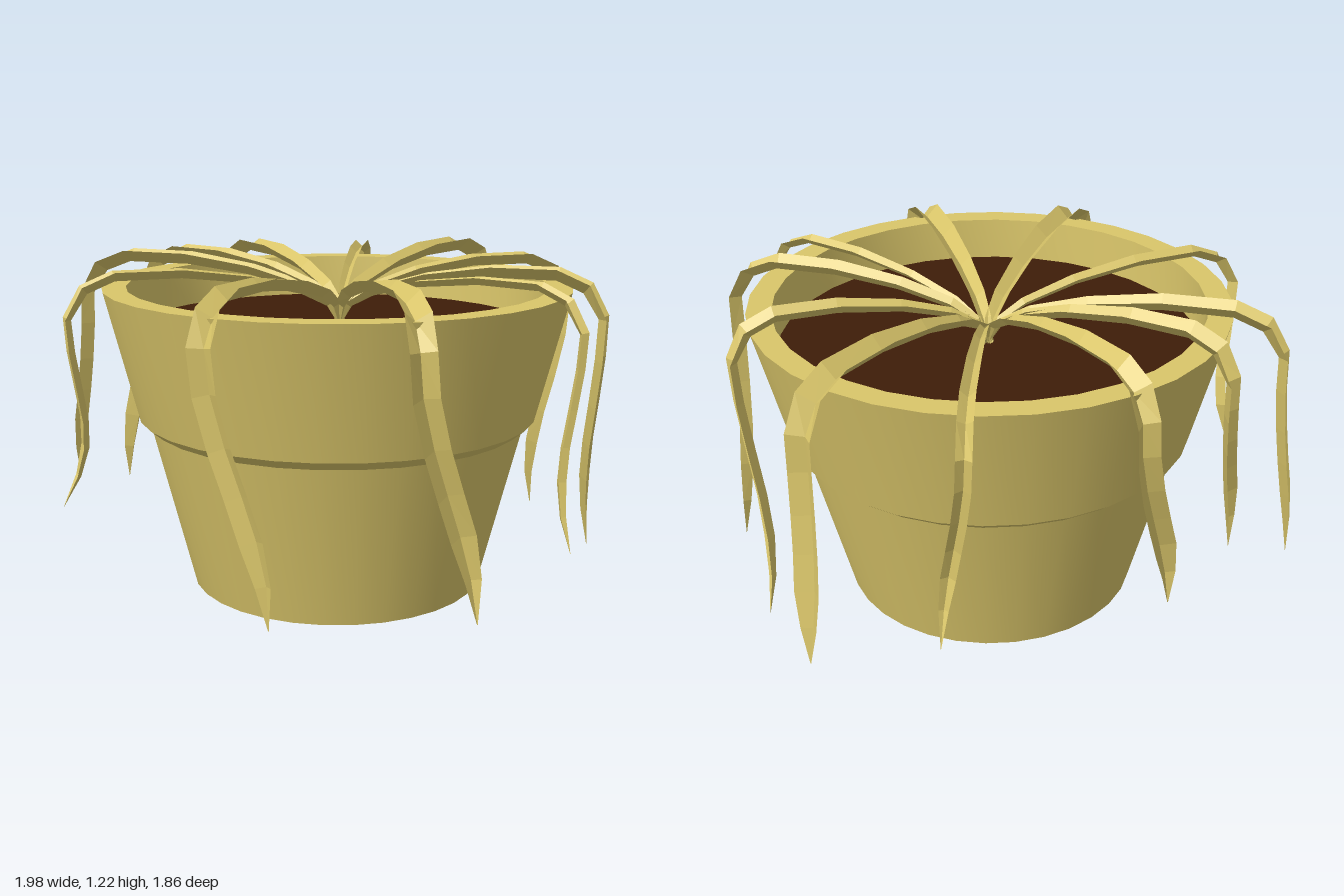
import * as THREE from 'three';
import { toCreasedNormals } from 'three/addons/utils/BufferGeometryUtils.js';

const CENTRE_X = 0.04;
const ROOT = new THREE.Vector3(0.06, 0.96, -0.03);

// Each leaf: half width, elbow over the rim (x, z), hanging tip, inward sag
const LEAVES = [
  { name: 'leafFront', w: 0.046, elbow: [0.025, 0.9], tip: [0.235, 0.12, 0.92], sag: 0.04 },
  { name: 'leafFrontRight', w: 0.046, elbow: [-0.6, 0.64], tip: [-0.44, 0.13, 0.79], sag: 0.02 },
  { name: 'leafRight', w: 0.034, elbow: [-0.94, 0], tip: [-0.99, 0.32, -0.11], sag: 0.09 },
  { name: 'leafBackRight', w: 0.046, elbow: [-0.78, -0.63], tip: [-0.86, 0.26, -0.7], sag: 0.02 },
  { name: 'leafBackInnerRight', w: 0.046, elbow: [-0.52, -0.73], tip: [-0.67, 0.27, -0.61], sag: 0.02 },
  { name: 'leafBack', w: 0.046, elbow: [-0.14, -0.88], tip: [-0.33, 0.23, -0.79], sag: 0.02 },
  { name: 'leafBackInnerLeft', w: 0.026, elbow: [0.45, -0.88], tip: [0.53, 0.32, -0.85], sag: 0.08 },
  { name: 'leafBackLeft', w: 0.052, elbow: [0.86, -0.58], tip: [0.93, 0.27, -0.71], sag: 0.03 },
  { name: 'leafLeft', w: 0.042, elbow: [0.96, -0.01], tip: [0.97, 0.12, -0.21], sag: 0.05 },
  { name: 'leafFrontOuterLeft', w: 0.044, elbow: [0.84, 0.53], tip: [0.95, 0.12, 0.33], sag: 0.04 },
  { name: 'leafFrontInnerLeft', w: 0.028, elbow: [0.64, 0.77], tip: [0.59, 0.31, 0.87], sag: 0.06 },
];

// Arch from the root over the rim: [fraction of the way to the elbow, height]
const ARCH = [[0, 0.96], [0.05, 1.04], [0.15, 1.09], [0.35, 1.14], [0.6, 1.17], [0.84, 1.17], [0.94, 1.13]];
// Fractions of the drop from elbow to tip
const DROP = [0, 0.16, 0.35, 0.52, 0.68, 0.84, 1];

function leafPath({ elbow, tip, sag }) {
  const top = new THREE.Vector3(elbow[0], 1.04, elbow[1]);
  const end = new THREE.Vector3(...tip);
  const inward = new THREE.Vector3(CENTRE_X - top.x, 0, -top.z).normalize();
  const arch = ARCH.map(([t, y]) => ROOT.clone().lerp(top, t).setY(y));
  const hang = DROP.map(t => top.clone()
    .lerp(end, THREE.MathUtils.smoothstep(t, 0, 1))
    .setY(THREE.MathUtils.lerp(top.y, end.y, t))
    .addScaledVector(inward, sag * Math.sin(Math.PI * t ** 1.7)));
  return [...arch, ...hang];
}

// Folded blade: a V cross-section swept along the path, tapering at both ends
function leafGeometry(leaf) {
  const path = leafPath(leaf);
  const last = path.length - 1;
  const [x, z] = leaf.elbow;
  const side = new THREE.Vector3(z - ROOT.z, 0, ROOT.x - x).normalize();
  const positions = [], index = [];
  path.forEach((p, i) => {
    const tangent = path[Math.min(i + 1, last)].clone().sub(path[Math.max(i - 1, 0)]).normalize();
    const across = side.clone().addScaledVector(tangent, -side.dot(tangent)).normalize();
    const outward = tangent.clone().cross(across).normalize();
    const taper = i === last ? 0.03 : i === last - 1 ? 0.65 : 1;
    const half = leaf.w * Math.min(1, 0.35 + i * 0.15) * taper;
    const depth = half * (i < ARCH.length ? 1 : 0.75);
    for (const s of [-1, 0, 1]) {
      const q = p.clone().addScaledVector(across, s * half).addScaledVector(outward, Math.abs(s) * depth);
      positions.push(q.x, q.y, q.z);
    }
    if (i < last) {
      for (const k of [0, 1]) {
        const a = i * 3 + k;
        index.push(a, a + 1, a + 4, a, a + 4, a + 3);
      }
    }
  });
  const geometry = new THREE.BufferGeometry();
  geometry.setAttribute('position', new THREE.Float32BufferAttribute(positions, 3));
  geometry.setIndex(index);
  const faceted = geometry.toNonIndexed();
  faceted.computeVertexNormals();
  return faceted;
}

export function createModel() {
  const model = new THREE.Group();
  model.name = 'pottedPlant';
  const olive = new THREE.MeshStandardMaterial({ color: 0xdac66a, side: THREE.DoubleSide });
  olive.name = 'olive';
  const earth = new THREE.MeshStandardMaterial({ color: 0x3e1d08 });
  earth.name = 'earth';

  const add = (name, geometry, material, parent = model) => {
    const mesh = new THREE.Mesh(geometry, material);
    mesh.name = name;
    parent.add(mesh);
    return mesh;
  };

  // Pot with a stepped collar and open rim
  const profile = [[0, 0], [0.553, 0], [0.705, 0.615], [0.747, 0.65], [0.866, 1.13], [0.777, 1.13], [0.768, 0.95]]
    .map(([r, y]) => new THREE.Vector2(r, y));
  add('pot', toCreasedNormals(new THREE.LatheGeometry(profile, 32), 0.45), olive).position.x = CENTRE_X;

  // Soil
  const soil = add('soil', new THREE.CircleGeometry(0.772, 32).rotateX(-Math.PI / 2), earth);
  soil.position.set(CENTRE_X, 0.97, 0);

  // Drooping leaves
  const leaves = new THREE.Group();
  leaves.name = 'leaves';
  model.add(leaves);
  for (const leaf of LEAVES) add(leaf.name, leafGeometry(leaf), olive, leaves);

  return model;
}
